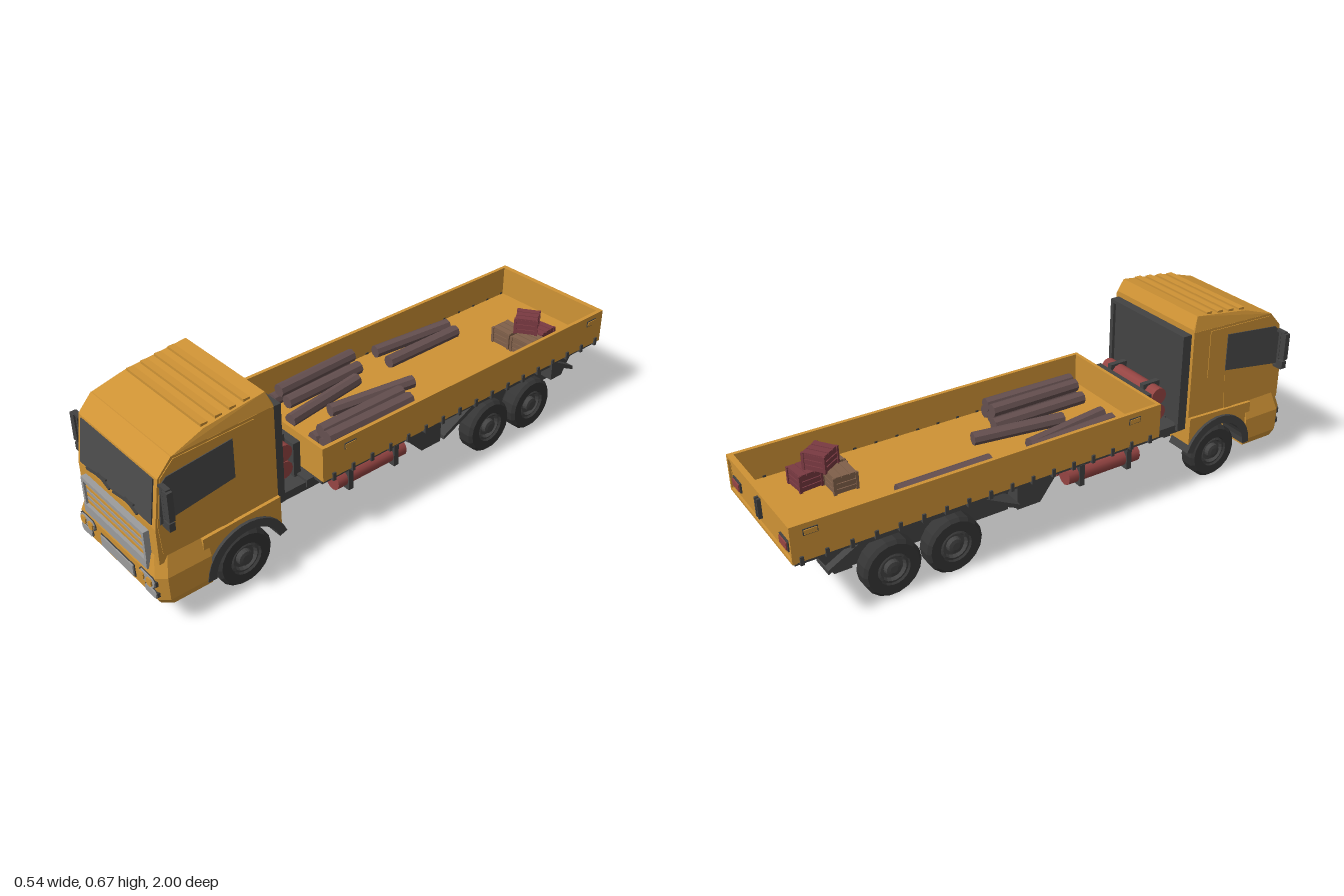
import * as THREE from 'three';
import { ConvexGeometry } from 'three/addons/geometries/ConvexGeometry.js';

const mat = (name, color) => Object.assign(new THREE.MeshStandardMaterial({ color }), { name });
const M = {
  yellow: mat('truck yellow', 0xcf9335), dark: mat('chassis dark grey', 0x434343),
  glass: mat('window grey', 0x4b4b4b), tyre: mat('tyre black', 0x353535),
  grey: mat('trim light grey', 0x9c9c9c), red: mat('tank red', 0x964543),
  log: mat('log brown', 0x655050), crate: mat('crate brown', 0x80604a),
  redCrate: mat('crate red', 0x7a3a42),
};

export function createModel() {
  const root = new THREE.Group();
  root.name = 'flatbedTruck';
  const add = (name, geo, m, parent = root) => {
    const mesh = new THREE.Mesh(geo, m);
    mesh.name = name;
    parent.add(mesh);
    return mesh;
  };
  // box given by its extents on each axis
  const box = (name, m, x0, x1, y0, y1, z0, z1, parent) => {
    const mesh = add(name, new THREE.BoxGeometry(x1 - x0, y1 - y0, z1 - z0), m, parent);
    mesh.position.set((x0 + x1) / 2, (y0 + y1) / 2, (z0 + z1) / 2);
    return mesh;
  };
  const pair = (name, m, x0, x1, ...r) => {
    box(name + 'Left', m, x0, x1, ...r);
    box(name + 'Right', m, -x1, -x0, ...r);
  };
  // side profile of [z, y] points, extruded across x
  const prism = (name, m, pts, x0, x1) => {
    const shape = new THREE.Shape(pts.map(p => new THREE.Vector2(...p)));
    const g = new THREE.ExtrudeGeometry(shape, { depth: x1 - x0, bevelEnabled: false });
    return add(name, g.rotateY(-Math.PI / 2).translate(x1, 0, 0), m);
  };
  const prismPair = (name, m, pts, x0, x1) => {
    prism(name + 'Left', m, pts, x0, x1);
    prism(name + 'Right', m, pts, -x1, -x0);
  };
  const flat = g => { const f = g.toNonIndexed(); f.computeVertexNormals(); return f; };
  const arc = (cz, cy, r, a0, a1, n = 14) => Array.from({ length: n + 1 }, (_, i) => {
    const a = THREE.MathUtils.degToRad(a0 + (a1 - a0) * i / n);
    return [cz + r * Math.cos(a), cy + r * Math.sin(a)];
  });
  // rod between two points
  const rod = (name, m, a, b, r, sides, faceted) => {
    const A = new THREE.Vector3(...a), B = new THREE.Vector3(...b), d = B.clone().sub(A);
    const g = new THREE.CylinderGeometry(r, r, d.length(), sides);
    const mesh = add(name, faceted ? flat(g) : g, m);
    mesh.position.copy(A).add(B).multiplyScalar(0.5);
    mesh.quaternion.setFromUnitVectors(new THREE.Vector3(0, 1, 0), d.normalize());
    return mesh;
  };

  // Cab shell, roof fairing and bumper
  prism('cabBody', M.yellow, [[0.53, 0.27], [0.965, 0.25], [0.965, 0.38], [0.94, 0.55], [0.89, 0.605], [0.53, 0.617]], -0.22, 0.22);
  const hull = [];
  for (const s of [-1, 1]) for (const [x, y, z] of [[0.22, 0.604, 0.89], [0.22, 0.614, 0.53], [0.21, 0.642, 0.77], [0.207, 0.67, 0.55], [0.215, 0.625, 0.53]])
    hull.push(new THREE.Vector3(s * x, y, z));
  add('roofFairing', new ConvexGeometry(hull), M.yellow);
  for (let i = 0; i < 4; i++) {
    const z = 0.76 - i * 0.05;
    box('roofRidge', M.yellow, -0.2, 0.2, -0.005, 0.005, -0.012, 0.012).position.set(0, 0.645 + (0.77 - z) * 0.127, z);
  }
  const bump = [];
  for (const s of [-1, 1]) for (const [y, w, z] of [[0.095, 0.232, 0.968], [0.12, 0.24, 0.982], [0.205, 0.24, 0.984], [0.272, 0.22, 0.967]])
    for (const [x, zz] of [[w, 0.8], [w, z - 0.03], [w - 0.025, z]]) bump.push(new THREE.Vector3(s * x, y, zz));
  add('bumper', new ConvexGeometry(bump), M.yellow);
  prism('wheelArchPanel', M.yellow, [[0.82, 0.1], [0.82, 0.272], [0.53, 0.285], ...arc(0.665, 0.105, 0.15, 155, 0)], -0.232, 0.232);
  prismPair('frontFender', M.dark, [...arc(0.665, 0.105, 0.155, 2, 162), ...arc(0.665, 0.105, 0.125, 162, 2)], 0.14, 0.243);

  // Doors and glass
  prismPair('door', M.yellow, [[0.95, 0.285], [0.7, 0.275], [0.685, 0.415], [0.605, 0.425], [0.605, 0.605], [0.885, 0.597], [0.932, 0.55], [0.957, 0.39]], 0.219, 0.2225);
  prismPair('sideWindow', M.glass, [[0.937, 0.53], [0.915, 0.55], [0.685, 0.575], [0.685, 0.435], [0.95, 0.395]], 0.222, 0.2255);
  const tilt = -Math.atan2(0.025, 0.17);
  const screen = new THREE.Group();
  screen.name = 'windscreenAssembly';
  screen.position.set(0, 0.467, 0.9535);
  screen.rotation.x = tilt;
  root.add(screen);
  box('windscreen', M.glass, -0.202, 0.202, -0.077, 0.077, -0.003, 0.003, screen);
  for (const x of [0, 0.155]) for (const [x0, y0, x1, y1] of [[-0.155, -0.074, -0.04, -0.057], [-0.09, -0.058, -0.02, -0.077]]) {
    const w = box('wiper', M.dark, 0, Math.hypot(x1 - x0, y1 - y0), 0, 0.006, 0, 0.006, screen);
    w.position.set(x + (x0 + x1) / 2, (y0 + y1) / 2, 0.007);
    w.rotation.z = Math.atan2(y1 - y0, x1 - x0);
  }

  // Mirrors
  pair('mainMirror', M.dark, 0.248, 0.272, 0.428, 0.53, 0.925, 0.945);
  pair('lowerMirror', M.dark, 0.238, 0.268, 0.392, 0.42, 0.925, 0.945);
  pair('mirrorPost', M.dark, 0.232, 0.242, 0.392, 0.532, 0.93, 0.942);
  for (const y of [0.388, 0.527]) pair('mirrorArm', M.dark, 0.212, 0.262, y, y + 0.008, 0.925, 0.942);

  // Grille, number panel and lamps
  box('grilleBack', M.dark, -0.17, 0.17, 0.25, 0.345, 0.95, 0.968);
  box('grilleTop', M.grey, -0.18, 0.18, 0.343, 0.357, 0.955, 0.985);
  box('grilleBottom', M.grey, -0.18, 0.18, 0.22, 0.254, 0.955, 0.987);
  pair('grilleSide', M.grey, 0.168, 0.18, 0.25, 0.345, 0.955, 0.985);
  for (let i = 0; i < 6; i++) {
    const y = 0.335 - i * 0.0145;
    box('grilleSlat', i % 2 ? M.yellow : M.grey, -0.168, 0.168, y - 0.005, y + 0.005, 0.96, 0.978);
  }
  box('panelFrame', M.dark, -0.098, 0.098, 0.133, 0.182, 0.975, 0.986);
  box('frontPanel', M.grey, -0.094, 0.094, 0.137, 0.178, 0.98, 0.99);
  const octagon = (name, m, x, y, w, h, c, z0, z1) => {
    const s = new THREE.Shape([[w - c, -h], [w, c - h], [w, h - c], [w - c, h], [c - w, h], [-w, h - c], [-w, c - h], [c - w, -h]].map(p => new THREE.Vector2(...p)));
    add(name, new THREE.ExtrudeGeometry(s, { depth: z1 - z0, bevelEnabled: false }), m).position.set(x, y, z0);
  };
  for (const s of [-1, 1]) {
    octagon('headlampRim', M.dark, s * 0.174, 0.183, 0.046, 0.021, 0.012, 0.96, 0.986);
    octagon('headlamp', M.grey, s * 0.174, 0.183, 0.042, 0.018, 0.011, 0.96, 0.99);
    for (const x of [0.149, 0.192]) octagon('headlampBulb', M.yellow, s * x, 0.183, 0.014, 0.014, 0.006, 0.98, 0.995);
    octagon('foglampRim', M.dark, s * 0.187, 0.141, 0.034, 0.016, 0.008, 0.96, 0.985);
    octagon('foglamp', M.grey, s * 0.187, 0.141, 0.031, 0.013, 0.007, 0.96, 0.989);
  }

  // Chassis and the wall behind the cab
  box('underBumperTray', M.dark, -0.14, 0.14, 0.087, 0.1, 0.82, 0.95);
  box('cabFrame', M.dark, -0.13, 0.13, 0.17, 0.26, 0.5, 0.83);
  box('cabRearWall', M.dark, -0.2, 0.2, 0.24, 0.6, 0.505, 0.532);
  pair('rearWallEdge', M.dark, 0.19, 0.207, 0.235, 0.605, 0.494, 0.532);
  box('rearWallTop', M.dark, -0.2, 0.2, 0.593, 0.605, 0.494, 0.532);
  box('deck', M.dark, -0.195, 0.195, 0.225, 0.255, 0.32, 0.53);
  box('chassisPlate', M.dark, -0.2, 0.2, 0.235, 0.265, -0.91, 0.4);
  box('bedUnderframe', M.dark, -0.24, 0.24, 0.257, 0.276, -0.985, 0.37);
  pair('chassisRail', M.dark, 0.06, 0.085, 0.18, 0.24, -0.85, 0.5);

  // Cargo bed
  box('bedFloor', M.yellow, -0.248, 0.248, 0.272, 0.285, -0.985, 0.37);
  pair('bedSide', M.yellow, 0.236, 0.25, 0.272, 0.4, -0.988, 0.373);
  box('bedFront', M.yellow, -0.236, 0.236, 0.272, 0.4, 0.36, 0.373);
  box('tailgate', M.yellow, -0.236, 0.236, 0.272, 0.4, -0.987, -0.975);
  for (const y of [0.27, 0.39]) box('tailgateRail', M.yellow, -0.25, 0.25, y, y + 0.01, -0.995, -0.98);
  pair('tailgatePost', M.yellow, 0.24, 0.25, 0.27, 0.4, -0.995, -0.98);
  pair('tailgateLatch', M.dark, 0.003, 0.012, 0.3, 0.37, -1.0, -0.985);
  pair('tailLampRim', M.dark, 0.158, 0.222, 0.3, 0.335, -0.993, -0.985);
  pair('tailLamp', M.red, 0.163, 0.217, 0.305, 0.33, -0.997, -0.988);
  for (let i = 0; i < 17; i++) {
    const z = 0.33 - i * 0.081;
    pair('bedStub', M.dark, 0.235, 0.256, 0.262, 0.292, z - 0.006, z + 0.006);
  }
  for (const z of [0.26, -0.93]) {
    pair('sideHandleRim', M.dark, 0.245, 0.2525, 0.36, 0.382, z - 0.024, z + 0.024);
    pair('sideHandle', M.yellow, 0.245, 0.255, 0.363, 0.379, z - 0.021, z + 0.021);
  }

  // Air and fuel tanks
  for (const y of [0.3, 0.365]) rod('rearTank', M.red, [-0.15, y, 0.448], [0.15, y, 0.448], 0.032, 12);
  pair('rearTankStrap', M.dark, 0.085, 0.105, 0.255, 0.402, 0.412, 0.484);
  box('rearTankStand', M.dark, -0.15, 0.15, 0.25, 0.385, 0.385, 0.412);
  for (const s of [-1, 1]) {
    for (const x of [0.14, 0.207]) {
      rod('sideTank', M.red, [s * x, 0.215, 0], [s * x, 0.215, 0.3], 0.032, 12);
    }
  }
  for (const z of [0.05, 0.25]) pair('sideTankStrap', M.dark, 0.1, 0.242, 0.178, 0.26, z - 0.01, z + 0.01);

  // Rear mudguards
  prismPair('rearGuardPlate', M.dark, [[-0.02, 0.255], [-0.1, 0.15], [-0.19, 0.15], [-0.19, 0.12], [-0.83, 0.12], [-0.87, 0.17], [-0.91, 0.255]], 0.125, 0.15);
  prismPair('rearGuardCover', M.dark, [[-0.19, 0.165], [-0.35, 0.24], [-0.75, 0.24], [-0.88, 0.175], [-0.88, 0.19], [-0.76, 0.256], [-0.34, 0.256], [-0.19, 0.18]], 0.14, 0.228);
  prismPair('guardBracket', M.dark, [[-0.02, 0.255], [-0.1, 0.15], [-0.19, 0.15], [-0.19, 0.255]], 0.14, 0.21);
  prism('rearCrossGuard', M.dark, [[-0.79, 0.24], [-0.79, 0.15], [-0.85, 0.15], [-0.905, 0.24]], -0.2, 0.2);

  // Wheels and axles
  const tyreProfile = [[0.05, -0.035], [0.092, -0.035], [0.103, -0.024], [0.103, 0.024], [0.092, 0.035], [0.058, 0.035], [0.054, 0.024]].map(p => new THREE.Vector2(...p));
  const rimProfile = [[0, -0.034], [0.052, -0.034], [0.056, 0.026], [0.046, 0.03], [0.04, 0.018], [0.029, 0.018], [0.026, 0.034], [0.013, 0.036], [0, 0.036]].map(p => new THREE.Vector2(...p));
  for (const z of [0.665, -0.435, -0.66]) {
    rod('axle', M.dark, [-0.16, 0.105, z], [0.16, 0.105, z], 0.016, 8, true);
    for (const s of [-1, 1]) {
      const wheel = new THREE.Group();
      wheel.name = 'wheel';
      wheel.position.set(s * 0.188, 0.1045, z);
      wheel.rotation.z = -s * Math.PI / 2;
      root.add(wheel);
      add('tyre', flat(new THREE.LatheGeometry(tyreProfile, 18)), M.tyre, wheel);
      add('rim', flat(new THREE.LatheGeometry(rimProfile, 18)), M.dark, wheel);
    }
  }

  // Logs: start x, z, end x, z and layer
  const logs = [[-0.17, -0.59, -0.2, -0.245, 0], [-0.115, -0.58, -0.113, -0.235, 0],
    [-0.212, -0.115, -0.19, 0.24, 0], [-0.158, -0.13, -0.145, 0.21, 0], [-0.187, -0.12, -0.17, 0.225, 1],
    [-0.1, -0.07, -0.05, 0.27, 0], [0.04, -0.21, -0.01, 0.13, 0], [0.083, -0.1, 0.083, 0.28, 0],
    [0.135, -0.08, 0.13, 0.275, 0], [0.185, -0.075, 0.182, 0.3, 0], [0.11, -0.09, 0.112, 0.27, 1], [0.16, -0.085, 0.157, 0.28, 1]];
  for (const [x0, z0, x1, z1, layer] of logs) {
    const y = 0.309 + layer * 0.042;
    rod('log', M.log, [x0, y, z0], [x1, y, z1], 0.024, 8, true);
  }

  // Crates with planks and corner posts
  const crates = [[0.045, -0.7, 0, 0, M.crate], [0.138, -0.7, 0, 0.03, M.crate], [0.12, -0.79, 0, 0.1, M.redCrate], [0.1, -0.74, 1, 0.6, M.redCrate]];
  for (const [x, z, layer, turn, m] of crates) {
    const c = new THREE.Group();
    c.name = 'crate';
    c.position.set(x, 0.286 + layer * 0.063, z);
    c.rotation.y = turn;
    root.add(c);
    box('crateCore', m, -0.037, 0.037, 0, 0.06, -0.037, 0.037, c);
    for (let i = 0; i < 3; i++) {
      box('cratePlank', m, -0.041, 0.041, 0.002 + i * 0.02, 0.018 + i * 0.02, -0.041, 0.041, c);
      box('crateLid', m, -0.041, 0.041, 0.058, 0.063, -0.04 + i * 0.028, -0.016 + i * 0.028, c);
    }
    for (const a of [-1, 1]) for (const b of [-1, 1])
      box('cratePost', m, a * 0.039 - 0.005, a * 0.039 + 0.005, 0, 0.062, b * 0.039 - 0.005, b * 0.039 + 0.005, c);
  }
  return root;
}
